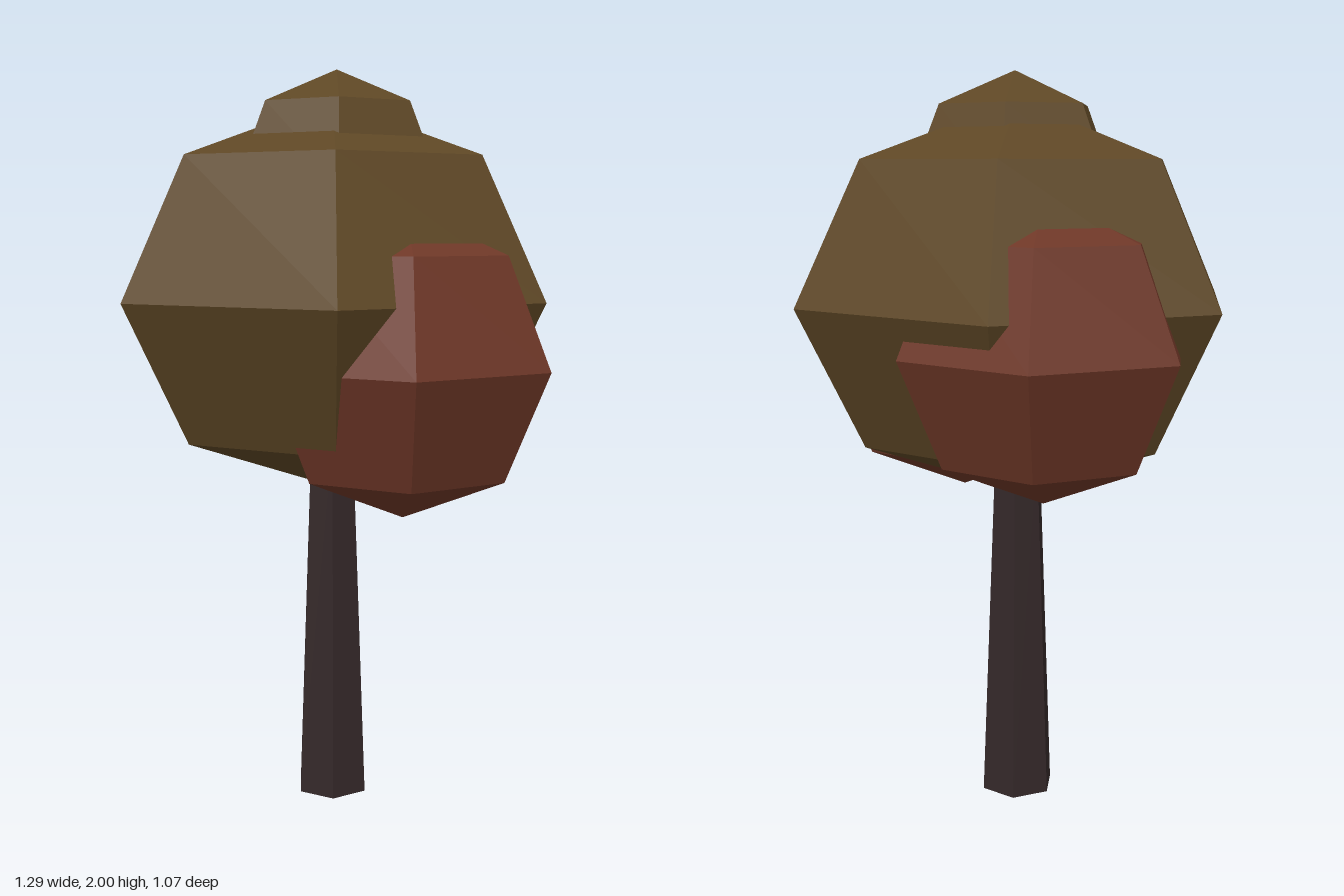
import * as THREE from 'three';

const flat = (name, color) => {
  const m = new THREE.MeshStandardMaterial({ color, flatShading: true });
  m.name = name;
  return m;
};

export function createModel() {
  const tree = new THREE.Group();
  tree.name = 'tree';

  const olive = flat('oliveLeaves', 0x5e4725);
  const russet = flat('russetLeaves', 0x6e3727);
  const bark = flat('darkBark', 0x342829);

  // Tapered six-sided trunk, with corners pointing along x
  const trunkGeometry = new THREE.CylinderGeometry(0.066, 0.105, 1, 6);
  trunkGeometry.rotateY(Math.PI / 2);
  const trunk = new THREE.Mesh(trunkGeometry, bark);
  trunk.name = 'trunk';
  trunk.position.set(-0.03, 0.5, 0);
  tree.add(trunk);

  // Overlapping six-sided leaf clumps: radius, height scale, centre
  const addClump = (name, material, radius, scaleY, x, y, z) => {
    const clump = new THREE.Mesh(new THREE.SphereGeometry(radius, 6, 4), material);
    clump.name = name;
    clump.scale.y = scaleY;
    clump.position.set(x, y, z);
    tree.add(clump);
  };
  addClump('mainCrown', olive, 0.617, 0.85, -0.03, 1.4, 0);
  addClump('topClump', olive, 0.304, 1, 0, 1.696, 0.027);
  addClump('frontLeftClump', russet, 0.402, 1, 0.24, 1.236, 0.105);
  addClump('backRightClump', russet, 0.391, 1, -0.25, 1.296, -0.188);

  return tree;
}
